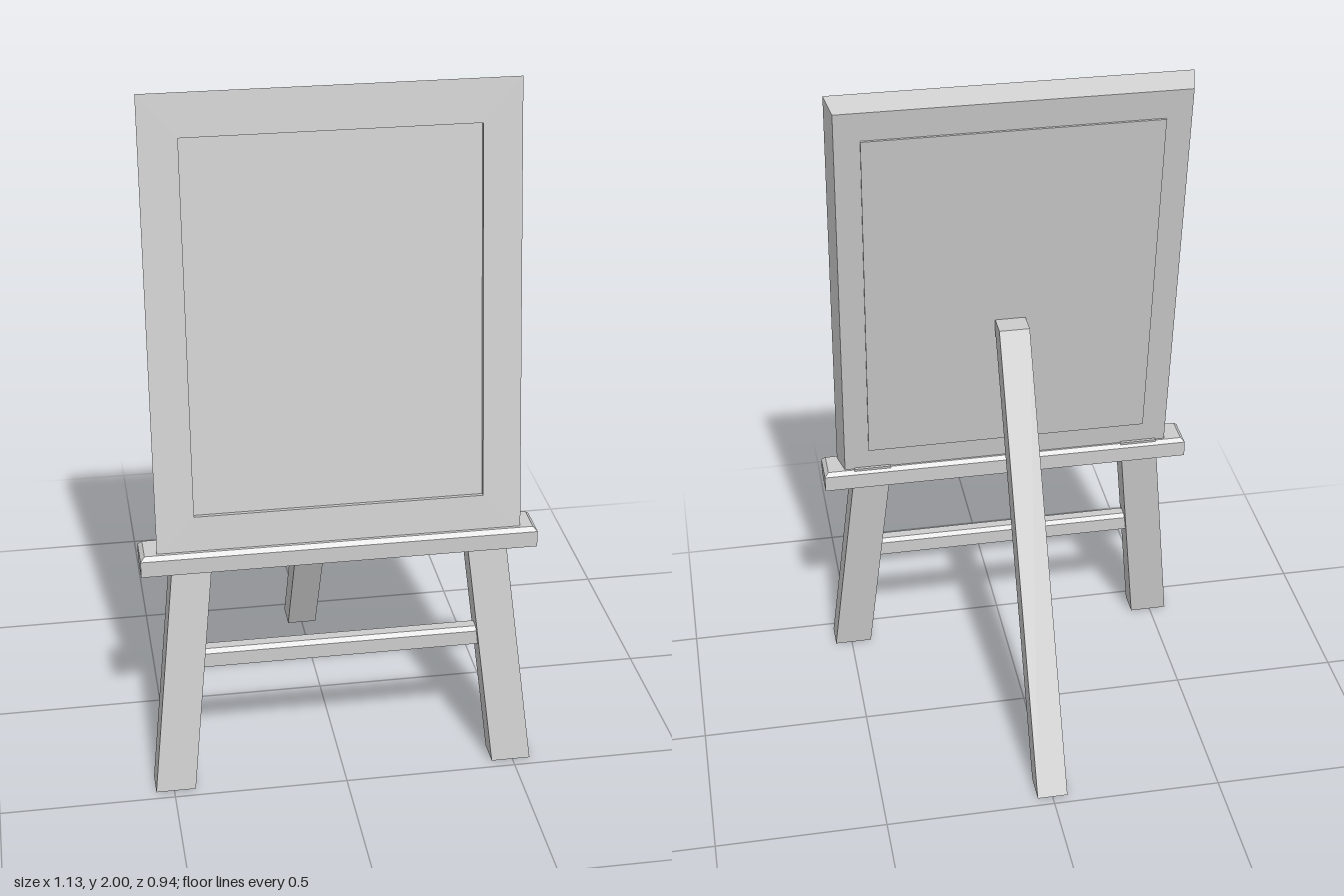
import * as THREE from 'three';

const grey = new THREE.MeshStandardMaterial({ color: 0xcccccc });
grey.name = 'plain grey';

// Solid through horizontal rectangles, each [y, x0, x1, z0, z1], from bottom to top
function loft(name, rings) {
  const corners = rings.map(([y, x0, x1, z0, z1]) =>
    [[x0, y, z1], [x1, y, z1], [x1, y, z0], [x0, y, z0]]);
  const pos = [];
  const quad = (a, b, c, d) => pos.push(...a, ...b, ...c, ...a, ...c, ...d);
  for (let i = 0; i < corners.length - 1; i++) {
    const lo = corners[i], hi = corners[i + 1];
    for (let k = 0; k < 4; k++) {
      const n = (k + 1) % 4;
      quad(lo[k], lo[n], hi[n], hi[k]);
    }
  }
  quad(...corners[corners.length - 1]);
  quad(...corners[0].slice().reverse());
  const geo = new THREE.BufferGeometry();
  geo.setAttribute('position', new THREE.Float32BufferAttribute(pos, 3));
  geo.computeVertexNormals();
  const mesh = new THREE.Mesh(geo, grey);
  mesh.name = name;
  return mesh;
}

function rect(PathType, x, y0, y1) {
  const p = new PathType();
  p.moveTo(-x, y0);
  p.lineTo(x, y0);
  p.lineTo(x, y1);
  p.lineTo(-x, y1);
  p.closePath();
  return p;
}

// Leaning board: a frame narrowing to the back, with a sunken panel
function makeBoard() {
  const board = new THREE.Group();
  board.name = 'board';
  const depth = 0.073, bottom = -0.015, top = 1.283, half = 0.518, taper = 0.017;

  const outline = rect(THREE.Shape, half, bottom, top);
  outline.holes.push(rect(THREE.Path, 0.41, 0.101, 1.162));
  const geo = new THREE.ExtrudeGeometry(outline, { depth, bevelEnabled: false });
  geo.translate(0, 0, -depth);
  const p = geo.attributes.position;
  for (let i = 0; i < p.count; i++) {
    if (p.getZ(i) > -depth / 2) continue;
    const x = p.getX(i), y = p.getY(i);
    if (Math.abs(x) > 0.5) p.setX(i, x - Math.sign(x) * taper);
    if (y > 1.25) p.setY(i, y - taper);
    if (y < 0.05) p.setY(i, y + taper);
  }
  geo.computeVertexNormals();
  const frame = new THREE.Mesh(geo, grey);
  frame.name = 'boardFrame';

  const panel = new THREE.Mesh(new THREE.BoxGeometry(0.855, 1.096, 0.064), grey);
  panel.name = 'boardPanel';
  panel.position.set(0, 0.63, -0.047);

  board.add(frame, panel);
  board.position.set(0, 0.73, 0.37);
  board.rotation.x = -Math.atan(0.142);
  return board;
}

export function createModel() {
  const model = new THREE.Group();
  model.name = 'easel';
  model.add(makeBoard());

  // Ledge with a chamfered top edge
  model.add(loft('ledge', [
    [0.67, -0.565, 0.565, 0.28, 0.39],
    [0.718, -0.565, 0.565, 0.28, 0.39],
    [0.73, -0.553, 0.553, 0.29, 0.379],
  ]));

  // Splayed front legs
  for (const s of [1, -1]) {
    const span = (a, b) => (s > 0 ? [a, b] : [-b, -a]);
    model.add(loft(s > 0 ? 'leftFrontLeg' : 'rightFrontLeg', [
      [0, ...span(0.438, 0.552), 0.39, 0.47],
      [0.734, ...span(0.36, 0.472), 0.286, 0.366],
    ]));
  }

  // Crossbar between the front legs
  model.add(loft('crossbar', [
    [0.365, -0.41, 0.41, 0.348, 0.398],
    [0.408, -0.41, 0.41, 0.348, 0.398],
    [0.42, -0.41, 0.41, 0.358, 0.388],
  ]));

  // Slanted back leg, its top set into the board
  model.add(loft('backLeg', [
    [0, -0.045, 0.045, -0.47, -0.382],
    [1.25, -0.045, 0.045, 0.146, 0.236],
  ]));

  return model;
}
